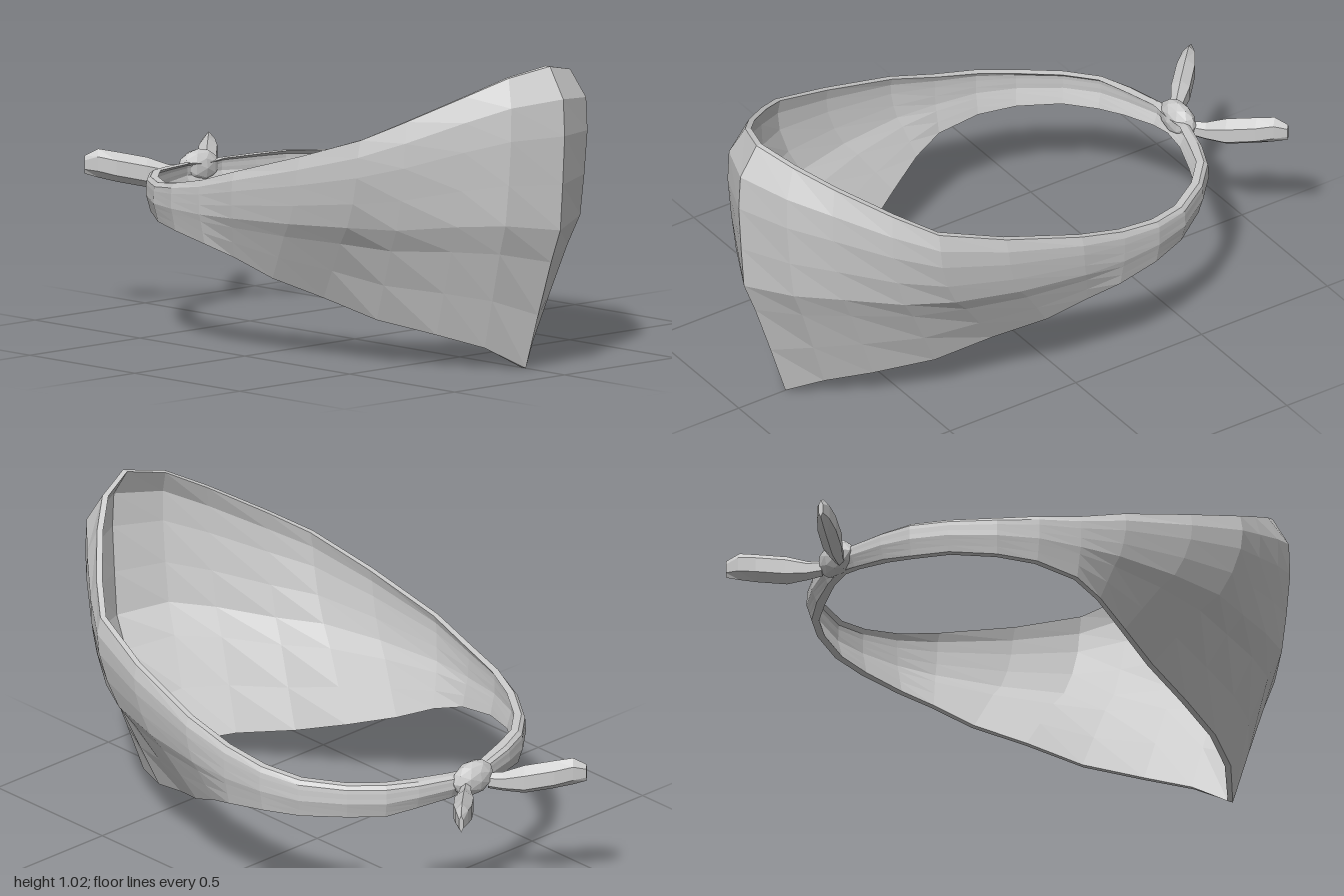
import * as THREE from 'three';

const material = new THREE.MeshStandardMaterial({ color: 0xcccccc, flatShading: true });

// Skins a row of equal-length cross-sections; each runs counterclockwise seen from the next one.
function loft(sections, ring) {
  const n = sections[0].length, count = sections.length;
  const index = [];
  const points = sections.flat();
  for (let i = 0; i < (ring ? count : count - 1); i++) {
    const k = (i + 1) % count;
    for (let r = 0; r < n; r++) {
      const s = (r + 1) % n;
      const a = i * n + r, b = k * n + r, c = k * n + s, d = i * n + s;
      index.push(a, d, c, a, c, b);
    }
  }
  if (!ring) {
    const last = (count - 1) * n;
    for (let r = 1; r < n - 1; r++) {
      index.push(0, r + 1, r, last, last + r, last + r + 1);
    }
  }
  const g = new THREE.BufferGeometry().setFromPoints(points);
  g.setIndex(index);
  const flat = g.toNonIndexed();
  flat.computeVertexNormals();
  return flat;
}

// Columns from the front crease round the left side to the knot:
// top x, y, z, bottom x, y, z, outward angle in degrees, bulge, cloth thickness
const columns = [
  [0, 1.02, 0.93, 0, 0, 0.815, 0, 1, 0.02],
  [0.14, 0.99, 0.88, 0.11, 0.07, 0.735, 33, 0.85, 0.02],
  [0.25, 0.93, 0.79, 0.21, 0.11, 0.61, 43, 0.55, 0.02],
  [0.385, 0.845, 0.65, 0.31, 0.15, 0.43, 50, 0.35, 0.02],
  [0.48, 0.78, 0.53, 0.38, 0.21, 0.25, 65, 0.25, 0.02],
  [0.535, 0.705, 0.3, 0.46, 0.265, 0.09, 80, 0.2, 0.02],
  [0.565, 0.625, 0.02, 0.51, 0.325, -0.04, 90, 0.18, 0.02],
  [0.555, 0.575, -0.15, 0.54, 0.36, -0.15, 96, 0.15, 0.022],
  [0.535, 0.545, -0.3, 0.53, 0.385, -0.3, 103, 0.15, 0.025],
  [0.485, 0.525, -0.43, 0.485, 0.395, -0.43, 120, 0.18, 0.025],
  [0.395, 0.52, -0.56, 0.395, 0.405, -0.56, 137, 0.18, 0.025],
  [0.3, 0.52, -0.645, 0.3, 0.405, -0.645, 147, 0.2, 0.025],
  [0.2, 0.515, -0.69, 0.2, 0.42, -0.69, 160, 0.2, 0.03],
  [0.08, 0.51, -0.725, 0.08, 0.43, -0.725, 172, 0.2, 0.025],
  [0, 0.5, -0.735, 0, 0.44, -0.735, 180, 0.2, 0.03],
];

// Rows down the cloth: height fraction, shift from top to bottom edge, bulge
const rows = [
  [0, 0, 0], [0.1, 0.02, 0.066], [0.22, 0.05, 0.076], [0.38, 0.15, 0.078],
  [0.53, 0.3, 0.084], [0.64, 0.5, 0.063], [0.82, 0.75, 0.03], [1, 1, 0],
];

// Closed cross-section of the cloth: outer face downward, inner face back up
function clothSection([tx, ty, tz, bx, by, bz, deg, bulge, thick], side) {
  const a = THREE.MathUtils.degToRad(deg);
  const at = ([t, w, b], inset) => {
    const out = b * bulge - inset;
    return new THREE.Vector3(
      side * (tx + (bx - tx) * w + Math.sin(a) * out),
      ty + (by - ty) * t,
      tz + (bz - tz) * w + Math.cos(a) * out);
  };
  const outer = rows.map((r) => at(r, 0));
  const inner = rows.map((r) => at(r, thick)).reverse();
  return [...outer, ...inner];
}

// Tail stations: distance, half width, half height, centre height
const tailStations = [
  [0, 0.018, 0.028, 0.465], [0.05, 0.024, 0.034, 0.462], [0.12, 0.036, 0.05, 0.47],
  [0.22, 0.035, 0.05, 0.488], [0.28, 0.024, 0.048, 0.5], [0.325, 0.008, 0.03, 0.495],
];

function makeTail() {
  return loft(tailStations.map(([s, w, h, y]) =>
    Array.from({ length: 6 }, (_, i) => {
      const a = (i / 6) * Math.PI * 2 + Math.PI / 2;
      return new THREE.Vector3(Math.cos(a) * w, y + Math.sin(a) * h, s);
    })), false);
}

export function createModel() {
  const group = new THREE.Group();
  group.name = 'bandana';
  const add = (geometry, name) => {
    const mesh = new THREE.Mesh(geometry, material);
    mesh.name = name;
    group.add(mesh);
    return mesh;
  };

  // Cloth wraps all the way round; the right half mirrors the left
  const left = columns.map((c) => clothSection(c, 1));
  const right = columns.slice(1, -1).reverse().map((c) => clothSection(c, -1));
  add(loft([...left, ...right], true), 'cloth');

  // Knot at the back
  const knot = add(new THREE.IcosahedronGeometry(1, 1), 'knot');
  knot.scale.set(0.085, 0.06, 0.045);
  knot.position.set(0, 0.485, -0.745);

  // Two loose ends
  for (const side of [1, -1]) {
    const tail = add(makeTail(), side > 0 ? 'leftTail' : 'rightTail');
    tail.position.set(side * 0.05, 0, -0.765);
    tail.rotation.y = side * THREE.MathUtils.degToRad(134);
  }
  return group;
}
